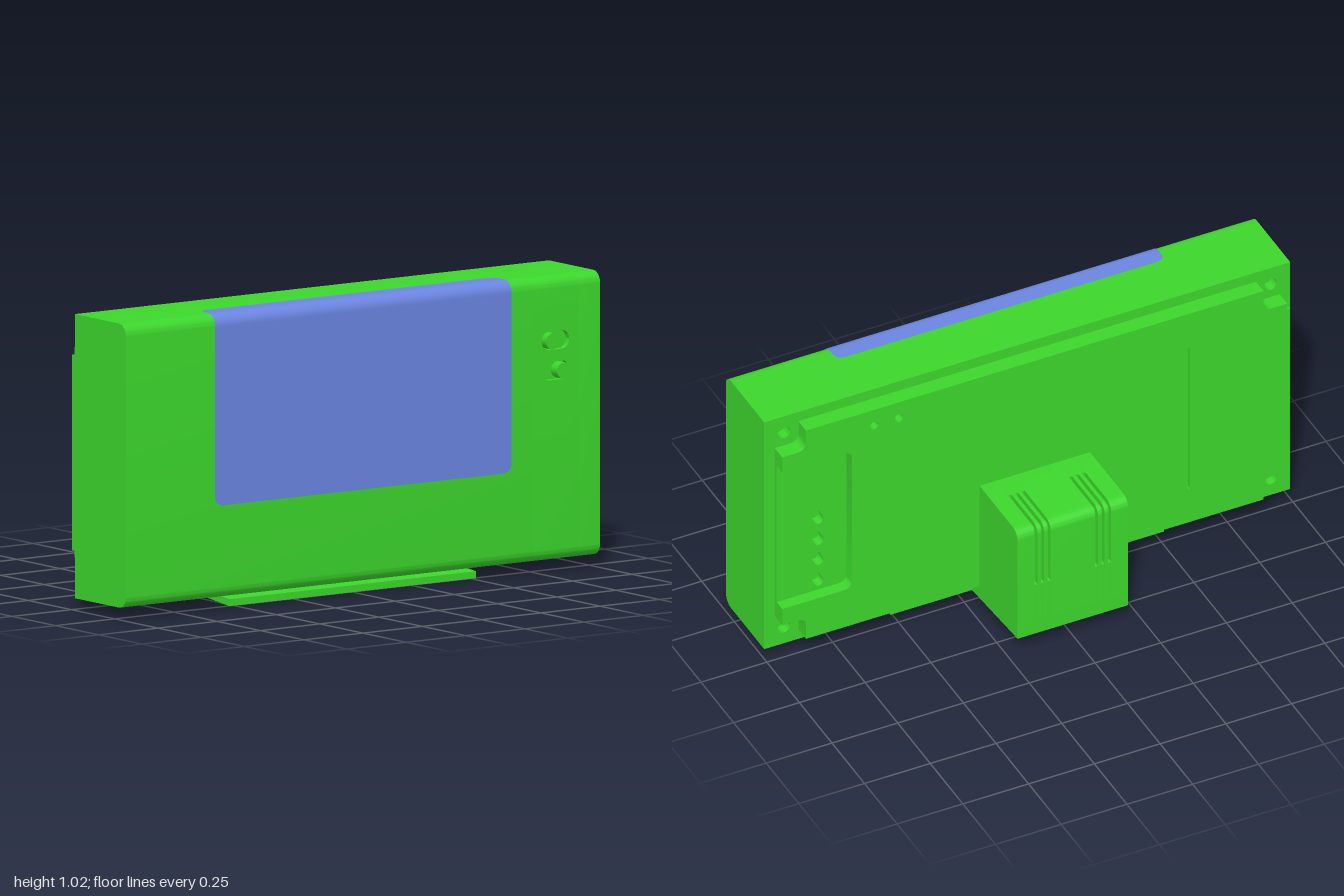
import * as THREE from 'three';
import { toCreasedNormals } from 'three/addons/utils/BufferGeometryUtils.js';

const green = new THREE.MeshStandardMaterial({ color: 0x3cd62c });
const blue = new THREE.MeshStandardMaterial({ color: 0x6b85e0, side: THREE.DoubleSide });

// Polygon from [x, y, cornerRadius] points
function poly(points, target = new THREE.Shape()) {
  const n = points.length, K = 0.5523;
  points.forEach(([x, y, r = 0], i) => {
    const c = new THREE.Vector2(x, y);
    const dirTo = (p) => new THREE.Vector2(p[0], p[1]).sub(c).normalize();
    const a = dirTo(points[(i + n - 1) % n]), b = dirTo(points[(i + 1) % n]);
    const at = (d, s) => c.clone().addScaledVector(d, s);
    const p = at(a, r), q = at(b, r);
    if (i) target.lineTo(p.x, p.y); else target.moveTo(p.x, p.y);
    if (r) {
      const h = at(a, r * (1 - K)), k = at(b, r * (1 - K));
      target.bezierCurveTo(h.x, h.y, k.x, k.y, q.x, q.y);
    }
  });
  target.closePath();
  return target;
}

const rect = (x0, x1, y0, y1, r = 0) => [[x0, y0, r], [x1, y0, r], [x1, y1, r], [x0, y1, r]];

const circle = (x, y, r) => new THREE.Path().absarc(x, y, r, 0, Math.PI * 2, true);

function add(group, name, geometry, material = green) {
  const mesh = new THREE.Mesh(geometry, material);
  mesh.name = name;
  group.add(mesh);
  return mesh;
}

// Front-facing outline extruded between two depths
function slab(shape, z0, z1) {
  const g = new THREE.ExtrudeGeometry(shape, { depth: z1 - z0, bevelEnabled: false, curveSegments: 10 });
  return toCreasedNormals(g.translate(0, 0, z0), 0.6);
}

// Side profile of [z, y, r] points extruded from x0 to x1
function sideways(points, x0, x1) {
  const shape = poly(points.map(([z, y, r]) => [-z, y, r]));
  const g = new THREE.ExtrudeGeometry(shape, { depth: x1 - x0, bevelEnabled: false, curveSegments: 10 });
  return toCreasedNormals(g.translate(0, 0, x0).rotateY(Math.PI / 2), 0.6);
}

function rod(x, y, z0, z1, r) {
  return new THREE.CylinderGeometry(r, r, z1 - z0, 24).rotateX(Math.PI / 2).translate(x, y, (z0 + z1) / 2);
}

const BOTTOM = 0.045, TOP = 1.025, FRONT = 0.315, BACK = 0.02, R = 0.04;

function buildHousing(group) {
  const housing = new THREE.Group();
  housing.name = 'housing';
  group.add(housing);
  const z = 0.06, f = FRONT, p = 0.295;
  const full = [[z, BOTTOM], [f, BOTTOM, R], [f, TOP, R], [z, TOP]];
  const pocketed = [[z, BOTTOM], [f, BOTTOM, R], [f, 0.64], [p, 0.64], [p, 0.87], [f, 0.87], [f, TOP, R], [z, TOP]];
  add(housing, 'housingMain', sideways(full, -1, 0.72));
  add(housing, 'housingSwitchSection', sideways(pocketed, 0.72, 0.91));
  add(housing, 'housingEnd', sideways(full, 0.91, 1));

  // Front inlay with two pill-shaped switch slots
  const inlay = poly(rect(0.72, 0.91, 0.64, 0.87));
  [0.805, 0.7].forEach((y) => inlay.holes.push(poly(rect(0.753, 0.87, y - 0.032, y + 0.032, 0.0319), new THREE.Path())));
  add(housing, 'switchInlay', slab(inlay, p, f));
  add(housing, 'upperSwitch', rod(0.788, 0.805, p, 0.332, 0.028));
  add(housing, 'lowerSwitch', rod(0.835, 0.7, p, 0.332, 0.028));

  // Rear layer with screw holes in the corners
  const rear = poly(rect(-1, 1, BOTTOM, TOP));
  for (const x of [-0.925, 0.925]) for (const y of [0.115, 0.955]) rear.holes.push(circle(x, y, 0.024));
  add(housing, 'rearFrame', slab(rear, BACK, z));
}

// Screen skin that follows the front face, the rounded edge and the top
function buildScreen(group) {
  const y0 = 0.365, half = 0.625, rc = 0.03, lift = 0.002;
  const straight = TOP - R - y0, arc = R * Math.PI / 2, total = straight + arc + (FRONT - R - 0.22);
  const g = new THREE.PlaneGeometry(2, total, 1, 120);
  const pos = g.attributes.position;
  for (let i = 0; i < pos.count; i++) {
    const s = pos.getY(i) + total / 2;
    const d = Math.max(0, rc - Math.min(s, total - s));
    const w = half - rc + Math.sqrt(Math.max(0, rc * rc - d * d));
    let y = y0 + s, z = FRONT + lift;
    if (s > straight + arc) {
      y = TOP + lift;
      z = FRONT - R - (s - straight - arc);
    } else if (s > straight) {
      const a = (s - straight) / R;
      y = TOP - R + (R + lift) * Math.sin(a);
      z = FRONT - R + (R + lift) * Math.cos(a);
    }
    pos.setXYZ(i, pos.getX(i) * w, y, z);
  }
  g.computeVertexNormals();
  add(group, 'screen', g, blue);
}

function buildBackPlate(group) {
  const plate = new THREE.Group();
  plate.name = 'backPlate';
  group.add(plate);
  const X = 0.96, N = 0.87, r = 0.03;
  const outline = (recess) => poly([
    [-N, 0.085], [N, 0.085], [N, 0.175, r], [X, 0.175], ...recess, [X, 0.9], [N, 0.9, r],
    [N, 0.985], [-N, 0.985], [-N, 0.9, r], [-X, 0.9], [-X, 0.175], [-N, 0.175, r],
  ]);
  add(plate, 'plateBase', slab(outline([]), 0.005, BACK));

  // Outer layer: recess open to the side, two small holes and a thin slit
  const outer = outline([[X, 0.245], [0.695, 0.245, r], [0.695, 0.835, r], [X, 0.835]]);
  outer.holes.push(circle(0.61, 0.917, 0.016), circle(0.516, 0.917, 0.016));
  outer.holes.push(poly(rect(-0.59, -0.582, 0.23, 0.838), new THREE.Path()));
  add(plate, 'plateOuter', slab(outer, -0.038, 0.005));
  add(plate, 'sideLip', slab(poly(rect(-0.97, -0.955, 0.2, 0.875)), -0.038, -0.012));

  [0.58, 0.49, 0.403, 0.313].forEach((y) => add(plate, 'contactPin', rod(0.82, y, 0.005, -0.033 + 0.0, 0.019).scale(1, 1, 1)));
}

// Rear block, cut into slices so the ventilation slits run over its edge
function buildRearBlock(group) {
  const block = new THREE.Group();
  block.name = 'rearBlock';
  group.add(block);
  const d = 0.02, B = -0.33, H = 0.518;
  const full = [[BACK, 0.027], [BACK, H], [B, H, 0.035], [B, 0.061]];
  const cut = [[BACK, 0.027], [BACK, H], [-0.13, H], [-0.13, H - d], [B + d, H - d, 0.02], [B + d, 0.27], [B, 0.27], [B, 0.061]];
  const slits = [-0.14, -0.115, -0.09, 0.09, 0.115, 0.14], w = 0.006;
  let x = -0.21;
  for (const c of slits) {
    add(block, 'blockSlice', sideways(full, x, c - w));
    add(block, 'ventSlit', sideways(cut, c - w, c + w));
    x = c + w;
  }
  add(block, 'blockSlice', sideways(full, x, 0.21));
}

export function createModel() {
  const model = new THREE.Group();
  model.name = 'device';
  buildHousing(model);
  buildScreen(model);
  buildBackPlate(model);
  buildRearBlock(model);
  // Sloping foot under the housing
  add(model, 'foot', sideways([[0.255, 0.003], [0.255, 0.027], [BACK, 0.05], [BACK, 0.027]], -0.52, 0.52));
  model.position.y = -0.003;
  const root = new THREE.Group();
  root.add(model);
  return root;
}
